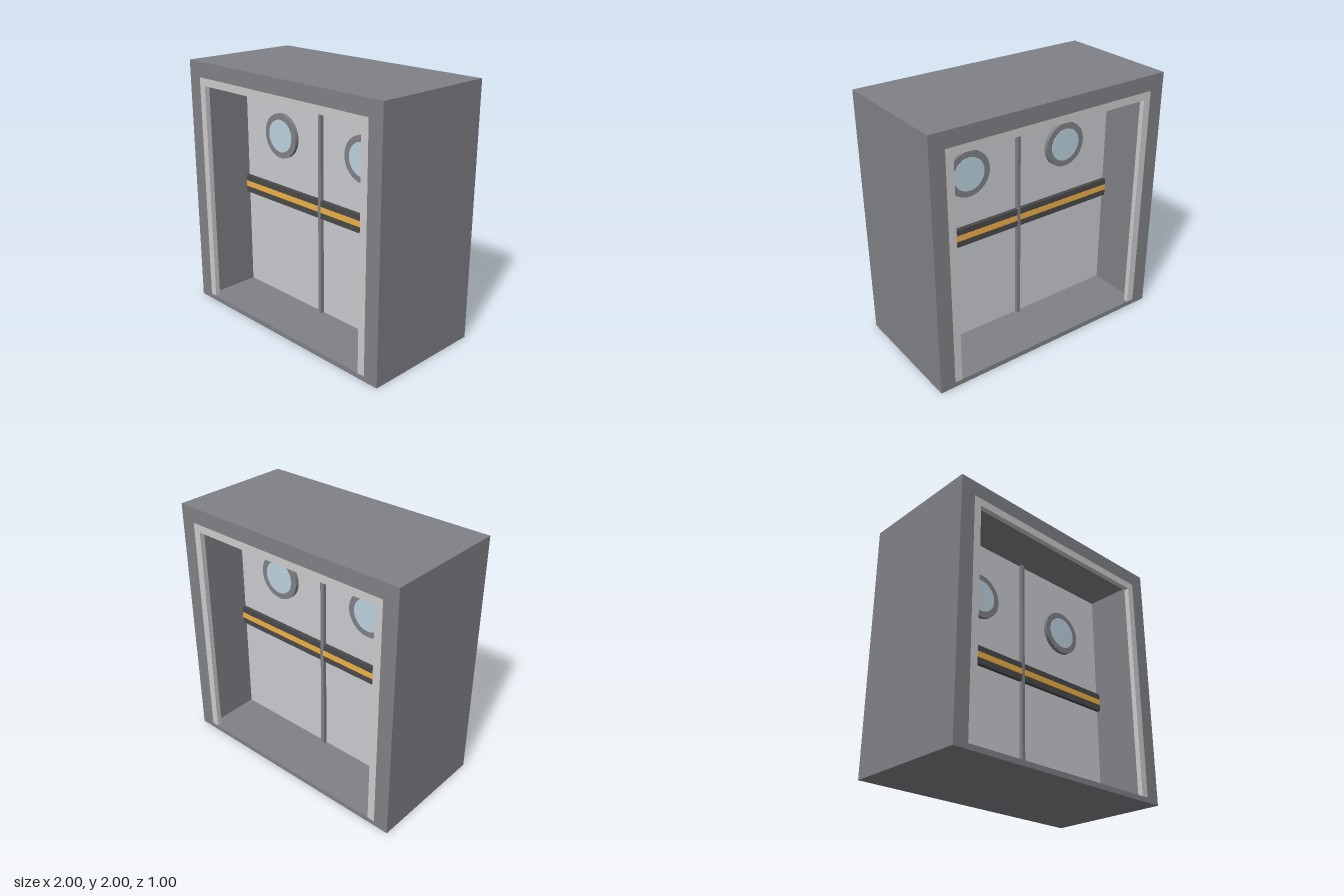
import * as THREE from 'three';

const mat = (color) => new THREE.MeshStandardMaterial({ color });

export function createModel() {
  const group = new THREE.Group();
  const frameMat = mat(0x808186), trimMat = mat(0xc4c4c4), doorMat = mat(0xcacbd0);
  const darkMat = mat(0x4a4a4c), yellowMat = mat(0xeeb044), glassMat = mat(0xbcd2de);

  const add = (name, geometry, material, x = 0, y = 0, z = 0) => {
    const mesh = new THREE.Mesh(geometry, material);
    mesh.name = name;
    mesh.position.set(x, y, z);
    group.add(mesh);
    return mesh;
  };
  // Box given by its width, bottom, top and full depth
  const slab = (name, w, y0, y1, d, material, x = 0, z = 0) =>
    add(name, new THREE.BoxGeometry(w, y1 - y0, d), material, x, (y0 + y1) / 2, z);
  const polygon = (points, Type = THREE.Shape) =>
    new Type(points.map(([x, y]) => new THREE.Vector2(x, y)));
  const extrude = (shape, depth) =>
    new THREE.ExtrudeGeometry(shape, { depth, bevelEnabled: false });

  const W = 0.88, FLOOR = 0.04, TOP = 1.88, GAP = 0.015;

  // Deep surround with a rectangular passage through it
  const surround = polygon([[-1, 0], [1, 0], [1, 2], [-1, 2]]);
  surround.holes.push(polygon([[-W, FLOOR], [-W, TOP], [W, TOP], [W, FLOOR]], THREE.Path));
  add('surround', extrude(surround, 1), frameMat, 0, 0, -0.5);

  // Light trim lining the mouth of the passage on both faces
  const trim = polygon([[-W, FLOOR], [-0.82, FLOOR], [-0.82, 1.82], [0.82, 1.82],
    [0.82, FLOOR], [W, FLOOR], [W, TOP], [-W, TOP]]);
  for (const z of [0.46, -0.5]) add('trim', extrude(trim, 0.04), trimMat, 0, 0, z);

  // Seal where the two leaves meet
  slab('centreSeal', 2 * GAP, FLOOR, TOP, 0.16, frameMat);

  // Two sliding leaves, each with warning band and porthole through both faces
  for (const side of [-1, 1]) {
    const label = side > 0 ? 'left' : 'right';
    const w = W - GAP, x = side * (W + GAP) / 2;
    slab(label + 'Door', w, FLOOR, TOP, 0.1, doorMat, x);
    slab(label + 'DarkBand', w, 0.855, 1.0, 0.164, darkMat, x);
    slab(label + 'YellowStripe', w, 0.905, 0.952, 0.17, yellowMat, x);

    const ring = add(label + 'PortholeRing',
      new THREE.CylinderGeometry(0.178, 0.178, 0.16, 48), frameMat, side * 0.44, 1.42);
    const glass = add(label + 'PortholeGlass',
      new THREE.CylinderGeometry(0.13, 0.13, 0.166, 48), glassMat, side * 0.44, 1.42);
    ring.rotation.x = glass.rotation.x = Math.PI / 2;
  }
  return group;
}
